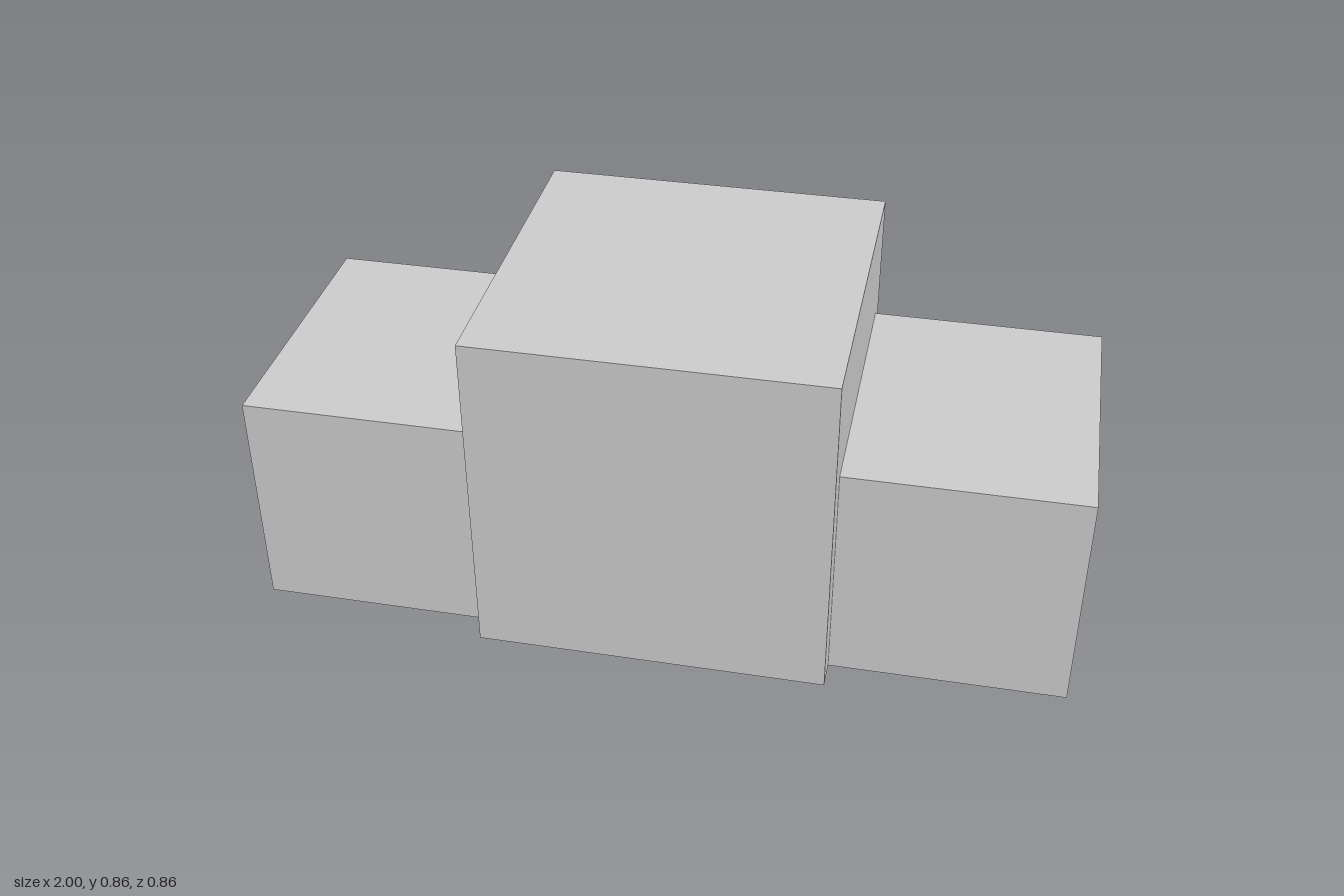
import * as THREE from 'three';

export function createModel() {
  const model = new THREE.Group();
  const material = new THREE.MeshStandardMaterial({ color: 0xcccccc, flatShading: true });
  const unit = 2 / 7; // the whole is seven units wide

  // A box standing on the ground, sized in units
  function block(name, width, height, depth, x) {
    const geometry = new THREE.BoxGeometry(width * unit, height * unit, depth * unit);
    const mesh = new THREE.Mesh(geometry, material);
    mesh.name = name;
    mesh.position.set(x * unit, (height * unit) / 2, 0);
    model.add(mesh);
  }

  // Tall central cube
  block('centralBlock', 3, 3, 3, 0);

  // Lower wings butting against each side
  block('leftWing', 2, 2, 2.5, 2.5);
  block('rightWing', 2, 2, 2.5, -2.5);

  return model;
}
